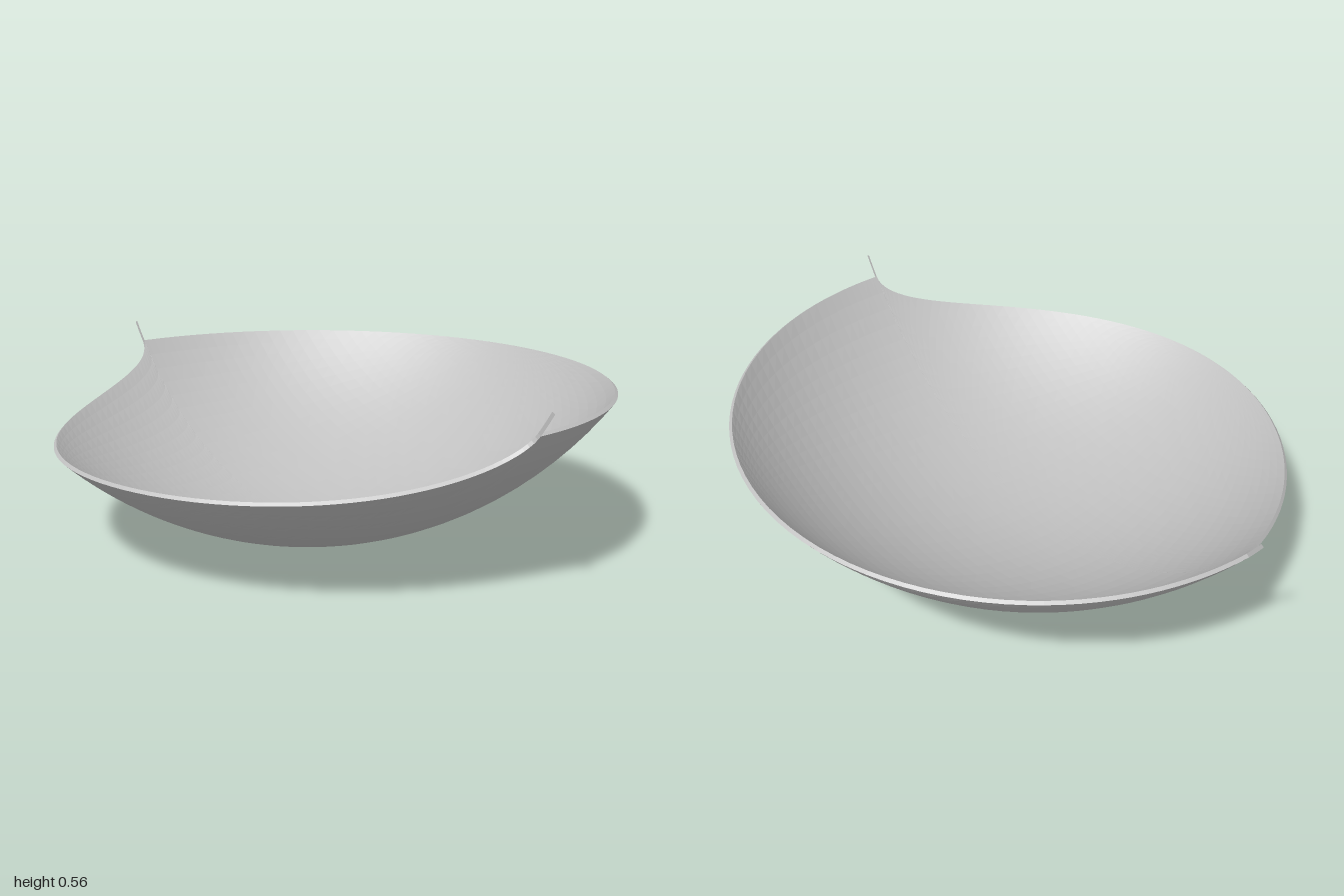
import * as THREE from 'three';

const R = 1.18;              // outer sphere radius, bowl bottom at y = 0
const INNER = 0.99;          // inner shell scale towards the sphere centre
const ZC = 0.08;             // z of the sphere centre
const RIM = 0.485;           // height of the level back rim
const FRONT = 0.795;         // reach of the lowered front, from the centre
const RIM_RADIUS = Math.sqrt(R * R - (R - RIM) ** 2);
const FRONT_DROP = RIM - (R - Math.sqrt(R * R - FRONT * FRONT));

// Rim height: level at the back, a quarter ellipse sweeping down at the front
function rimHeight(dz) {
  if (dz <= 0) return RIM;
  const u = 1 - dz / FRONT;
  return RIM - FRONT_DROP * Math.sqrt(Math.max(0, 1 - u * u));
}

// Closed shell from cross-sections along z: outer arc, rim, inner arc, rim
function bowlGeometry(rows = 36, cols = 36) {
  const offsets = [];
  for (let i = 0; i <= rows * 2; i++) {
    const t = i <= rows ? i / rows : (i - rows) / rows;
    const s = (1 - Math.cos(Math.PI * t)) / 2;
    offsets.push(i <= rows ? -RIM_RADIUS * (1 - s) : FRONT * s);
  }
  const pos = [], index = [];
  const ring = 2 * (cols + 1);
  offsets.forEach((dz, i) => {
    const rho = Math.sqrt(R * R - dz * dz);
    const max = Math.acos(Math.min(1, (R - rimHeight(dz)) / rho));
    for (let j = 0; j < ring; j++) {
      const outer = j <= cols;
      const a = max * (2 * (outer ? j : ring - 1 - j) / cols - 1);
      const k = outer ? 1 : INNER;
      pos.push(k * rho * Math.sin(a), R - k * rho * Math.cos(a), ZC + k * dz);
      if (i === 0) continue;
      const n = (j + 1) % ring, p = (i - 1) * ring, q = i * ring;
      index.push(p + j, p + n, q + j, p + n, q + n, q + j);
    }
  });
  const indexed = new THREE.BufferGeometry();
  indexed.setAttribute('position', new THREE.Float32BufferAttribute(pos, 3));
  indexed.setIndex(index);
  const geo = indexed.toNonIndexed();
  geo.computeVertexNormals();
  return geo;
}

export function createModel() {
  const group = new THREE.Group();
  group.name = 'scoopedBowl';
  const grey = new THREE.MeshStandardMaterial({
    color: 0xc0c0c0, flatShading: true, side: THREE.DoubleSide,
  });
  grey.name = 'light grey';

  const bowl = new THREE.Mesh(bowlGeometry(), grey);
  bowl.name = 'bowlShell';
  group.add(bowl);

  // Paper-thin tips that continue the wall upwards where the rim steps down
  const start = Math.acos((R - RIM) / R), end = Math.asin(0.999 / R);
  for (const side of [1, -1]) {
    const from = side > 0 ? start - Math.PI / 2 : -Math.PI / 2 - end;
    const tip = new THREE.Mesh(
      new THREE.RingGeometry(R * INNER, R, 4, 1, from, end - start), grey);
    tip.position.set(0, R, ZC);
    tip.name = side > 0 ? 'leftRimTip' : 'rightRimTip';
    group.add(tip);
  }
  return group;
}
